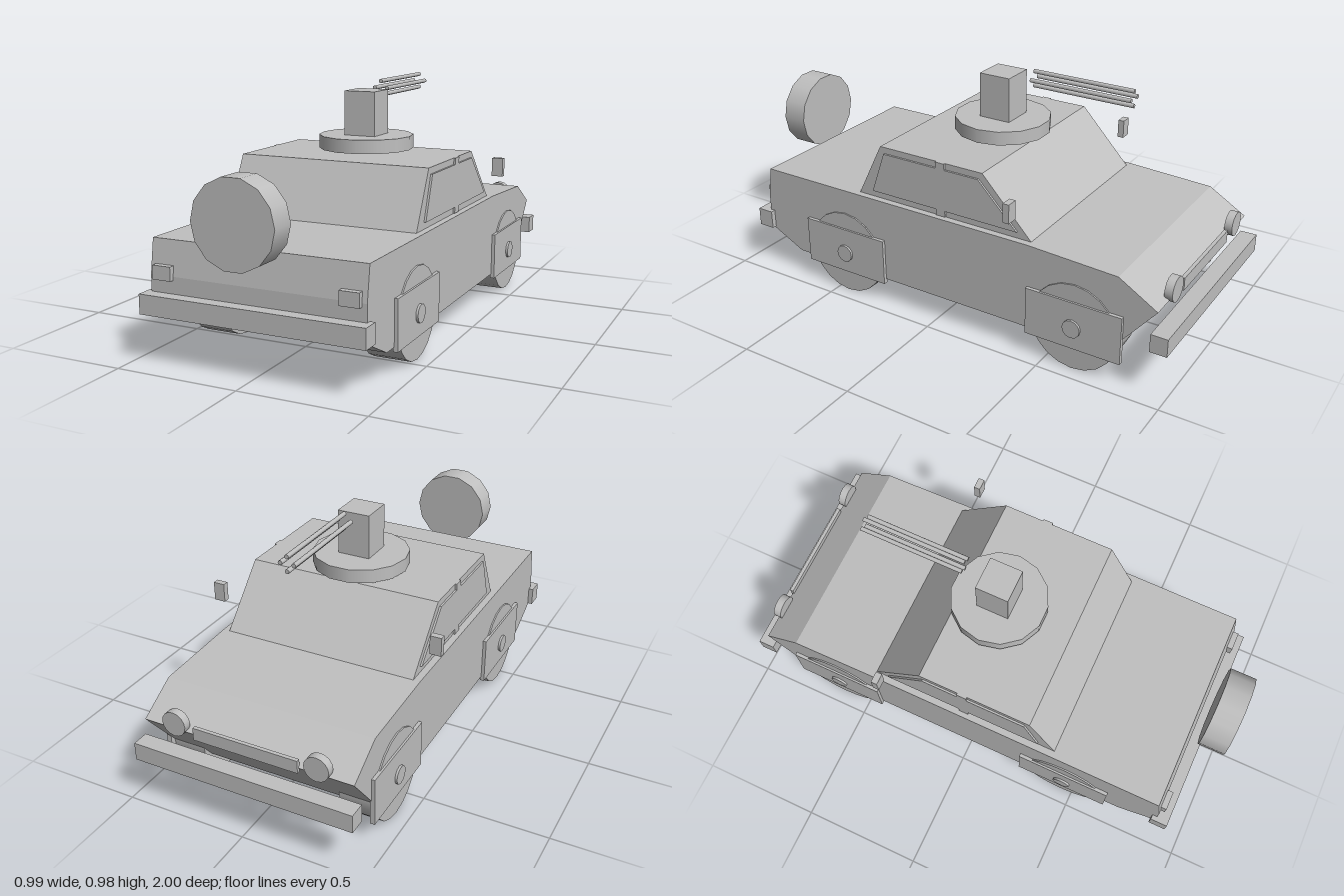
import * as THREE from 'three';

const paint = new THREE.MeshStandardMaterial({ color: 0xc0c0c0 });
paint.name = 'plain grey';

export function createModel() {
  const car = new THREE.Group();
  car.name = 'armedCar';

  const add = (name, geometry) => {
    const mesh = new THREE.Mesh(geometry, paint);
    mesh.name = name;
    car.add(mesh);
    return mesh;
  };

  // Box given by its extents on each axis
  const box = (name, [x0, x1], [y0, y1], [z0, z1]) =>
    add(name, new THREE.BoxGeometry(x1 - x0, y1 - y0, z1 - z0))
      .position.set((x0 + x1) / 2, (y0 + y1) / 2, (z0 + z1) / 2);

  // Cylinder along an axis, with corners on its side axis
  const cylinder = (name, axis, radius, length, sides, x, y, z) => {
    const g = new THREE.CylinderGeometry(radius, radius, length, sides);
    g.rotateY(Math.PI / 2);
    if (axis === 'x') g.rotateZ(Math.PI / 2);
    if (axis === 'z') g.rotateX(Math.PI / 2);
    add(name, g).position.set(x, y, z);
  };

  // Side profile of [z, y] points, extruded from x0 to x1
  const profile = (name, points, x0, x1) => {
    const shape = new THREE.Shape(points.map(([z, y]) => new THREE.Vector2(z, y)));
    const g = new THREE.ExtrudeGeometry(shape, { depth: x1 - x0, bevelEnabled: false });
    g.rotateY(-Math.PI / 2);
    g.translate(x1, 0, 0);
    add(name, g);
  };

  // Hull and cabin
  profile('body', [
    [0.71, 0.11], [0.87, 0.19], [0.87, 0.33], [0.85, 0.463], [-0.42, 0.463],
    [-0.79, 0.445], [-0.947, 0.35], [-0.82, 0.195], [-0.75, 0.11],
  ], -0.435, 0.435);
  profile('cabin', [[0.385, 0.462], [0.27, 0.69], [-0.205, 0.69], [-0.42, 0.462]], -0.407, 0.407);

  // Bumpers
  box('frontBumper', [-0.455, 0.455], [0.188, 0.265], [0.85, 0.921]);
  box('rearBumper', [-0.455, 0.455], [0.195, 0.268], [-1, -0.932]);

  // Spare wheel in front of the nose
  cylinder('spareWheel', 'z', 0.165, 0.107, 14, 0, 0.579, 0.9465);

  // Turret with four barrels in a diamond
  cylinder('turretRing', 'y', 0.196, 0.056, 14, 0, 0.729, -0.046);
  box('turretBlock', [-0.068, 0.068], [0.755, 0.94], [-0.114, 0.022]);
  for (const [x, y] of [[0, 0.966], [0.028, 0.937], [-0.028, 0.937], [0, 0.908]])
    cylinder('barrel', 'z', 0.009, 0.43, 8, x, y, -0.403);

  // Bar between the rear lamps
  box('rearBar', [-0.217, 0.217], [0.33, 0.382], [-0.953, -0.938]);

  for (const s of [-1, 1]) {
    const span = (a, b) => (s > 0 ? [a, b] : [-b, -a]);

    // Side windows and the pillar between them
    profile('frontWindow', [[0.312, 0.49], [0.25, 0.664], [0.003, 0.664], [0.003, 0.49]], ...span(0.4, 0.415));
    profile('rearWindow', [[-0.038, 0.49], [-0.038, 0.664], [-0.19, 0.664], [-0.36, 0.49]], ...span(0.4, 0.415));
    box('windowPillar', span(0.4, 0.415), [0.465, 0.69], [-0.038, 0.003]);

    // Lamps and mirrors
    box('frontLamp', span(0.338, 0.415), [0.316, 0.37], [0.85, 0.888]);
    cylinder('rearLamp', 'z', 0.05, 0.032, 16, s * 0.295, 0.378, -0.944);
    box('mirror', span(0.45, 0.497), [0.565, 0.642], [-0.376, -0.35]);

    // Wheels, covers and hubs
    for (const z of [0.448, -0.62]) {
      cylinder('wheel', 'x', 0.18, 0.148, 20, s * 0.367, 0.18, z);
      box('wheelCover', span(0.43, 0.449), [0.092, 0.289], [z - 0.199, z + 0.199]);
      cylinder('hub', 'x', 0.037, 0.02, 12, s * 0.448, 0.18, z);
    }
  }

  return car;
}
